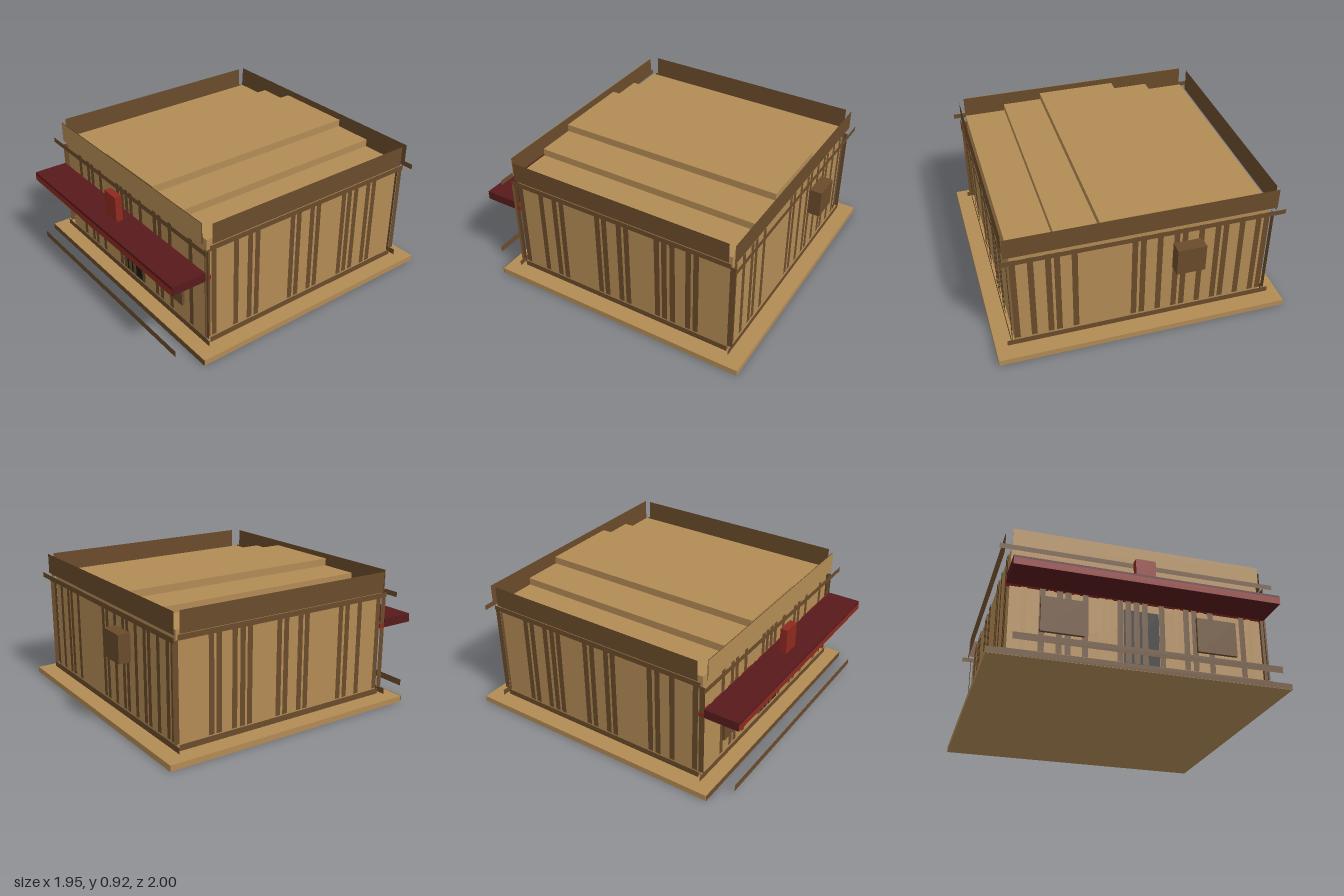
import * as THREE from 'three';

const mat = (name, color) => {
  const m = new THREE.MeshStandardMaterial({ color, side: THREE.DoubleSide });
  m.name = name;
  return m;
};

export function createModel() {
  const model = new THREE.Group();
  model.name = 'shopBuilding';
  const tan = mat('tan timber', 0xb28b55);
  const dark = mat('dark timber', 0x6a4b2a);
  const red = mat('red paint', 0x8e291f);
  const maroon = mat('maroon paint', 0x581a1b);
  const black = mat('doorway black', 0x191919);

  const add = (name, m, geo, x, y, z, parent) => {
    const mesh = new THREE.Mesh(geo, m);
    mesh.position.set(x, y, z);
    mesh.name = name;
    parent.add(mesh);
  };
  // Box given by its limits on each axis
  const box = (name, m, x0, x1, y0, y1, z0, z1, parent = model) =>
    add(name, m, new THREE.BoxGeometry(x1 - x0, y1 - y0, z1 - z0),
      (x0 + x1) / 2, (y0 + y1) / 2, (z0 + z1) / 2, parent);
  // Sheet facing front or back, at depth z (s = -1 faces back)
  const sheetZ = (name, m, x0, x1, y0, y1, z, parent = model, s = 1) =>
    add(name, m, new THREE.PlaneGeometry(x1 - x0, y1 - y0).rotateY(s > 0 ? 0 : Math.PI),
      (x0 + x1) / 2, (y0 + y1) / 2, z, parent);
  // Sheet facing a side, at position x
  const sheetX = (name, m, x, y0, y1, z0, z1, parent = model) =>
    add(name, m, new THREE.PlaneGeometry(z1 - z0, y1 - y0).rotateY(Math.sign(x) * Math.PI / 2),
      x, (y0 + y1) / 2, (z0 + z1) / 2, parent);
  const group = (name) => {
    const g = new THREE.Group();
    g.name = name;
    model.add(g);
    return g;
  };

  // Ground slab with dark front edging
  box('groundSlab', tan, -0.975, 0.972, 0, 0.04, -1, 0.853);
  sheetZ('slabFrontEdge', dark, -0.975, 0.972, 0, 0.04, 0.856);

  // Walls and stepped roof
  box('walls', tan, -0.84, 0.84, 0.04, 0.775, -0.87, 0.735);
  const roof = group('steppedRoof');
  [[0.84, 0.795], [0.553, 0.845], [0.278, 0.895]].forEach(([x, y]) =>
    box('roofStep', tan, -x, x, 0.77, y, -0.87, 0.735, roof));

  // Parapet
  const parapet = group('parapet');
  sheetZ('parapetFront', tan, -0.84, 0.84, 0.78, 0.92, 0.77, parapet);
  sheetZ('parapetFrontInside', dark, -0.84, 0.84, 0.78, 0.92, 0.765, parapet, -1);
  sheetZ('parapetBack', dark, -0.88, 0.88, 0.78, 0.92, -0.905, parapet, -1);
  for (const s of [-1, 1])
    sheetX('parapetSide', dark, s * 0.878, 0.78, 0.92, -0.865, 0.72, parapet);

  // Cornice and base trim boards around the walls
  const trim = group('trimBoards');
  sheetZ('corniceFront', dark, -0.925, 0.922, 0.745, 0.78, 0.8, trim);
  sheetZ('corniceBack', dark, -0.925, 0.922, 0.745, 0.78, -0.935, trim, -1);
  sheetZ('baseTrimFront', dark, -0.9, 0.895, 0.05, 0.09, 0.76, trim);
  sheetZ('baseTrimBack', dark, -0.9, 0.895, 0.05, 0.09, -0.893, trim, -1);
  sheetZ('frontCurb', dark, -0.845, 0.845, 0.045, 0.09, 0.98, trim);
  for (const s of [-1, 1]) {
    sheetX('corniceSide', dark, s * 0.885, 0.745, 0.78, -0.885, 0.745, trim);
    sheetX('baseTrimSide', dark, s * 0.866, 0.05, 0.09, -0.87, 0.73, trim);
  }

  // Front battens
  const Y0 = 0.095, Y1 = 0.738, W = 0.019;
  const front = group('frontBattens');
  const frontRow = (m, z, list) => list.forEach((x) =>
    sheetZ('batten', m, x - W, x + W, Y0, Y1, z, front));
  frontRow(dark, 0.753, [-0.635, -0.525, -0.47, -0.36, -0.134, -0.08, -0.025, 0.03,
    0.144, 0.31, 0.368, 0.48, 0.7, 0.86]);
  frontRow(tan, 0.744, [-0.748, -0.58, -0.415, -0.248, -0.195, 0.255, 0.422, 0.755]);

  // Side battens and flush shutters
  const sideDark = [0.745, 0.698, 0.53, 0.422, 0.365, 0.083, 0.03, -0.082, -0.137,
    -0.36, -0.413, -0.472, -0.585, -0.64, -0.887];
  const sideTan = [0.475, 0.14, -0.03, -0.195, -0.53, -0.695];
  const shutters = [[0.33, 0.45, 0.515], [0, 0.12, 0.55], [-0.32, -0.21, 0.515], [-0.65, -0.55, 0.55]];
  for (const s of [-1, 1]) {
    const side = group(s > 0 ? 'leftSideBattens' : 'rightSideBattens');
    sideDark.forEach((z) => sheetX('batten', dark, s * 0.861, Y0, Y1, z - W, z + W, side));
    sideTan.forEach((z) => sheetX('batten', tan, s * 0.848, Y0, Y1, z - W, z + W, side));
    shutters.forEach(([z0, z1, y1]) => sheetX('shutter', tan, s * 0.855, 0.32, y1, z0, z1, side));
  }

  // Back battens, leaving one plain panel
  const back = group('backBattens');
  for (let i = 0; i < 31; i++) {
    const x = 0.825 - i * 0.055;
    if (x > 0.06 && x < 0.34) continue;
    const isDark = i % 5 !== 1 && i % 5 !== 3;
    sheetZ('batten', isDark ? dark : tan, x - W, x + W, Y0, Y1, isDark ? -0.885 : -0.878, back, -1);
  }

  // Doorway and window boards
  sheetZ('doorway', black, -0.11, 0.125, 0.09, 0.465, 0.748);
  box('windowBoard', dark, -0.65, -0.37, 0.22, 0.46, 0.765, 0.785);
  box('windowBoard', dark, 0.372, 0.642, 0.22, 0.46, 0.765, 0.785);

  // Awning with red front fascia, rear rail and sign block
  const awning = group('awning');
  box('awningDeck', maroon, -0.865, 0.862, 0.525, 0.585, 0.762, 0.997, awning);
  sheetZ('awningFascia', red, -0.865, 0.862, 0.525, 0.568, 1, awning);
  box('awningRail', red, -0.865, 0.862, 0.525, 0.555, 0.722, 0.762, awning);
  box('signBlock', red, -0.068, 0.064, 0.585, 0.765, 0.836, 0.886, awning);

  // Rear utility box
  box('utilityBox', dark, -0.375, -0.185, 0.47, 0.66, -1, -0.915);
  return model;
}
